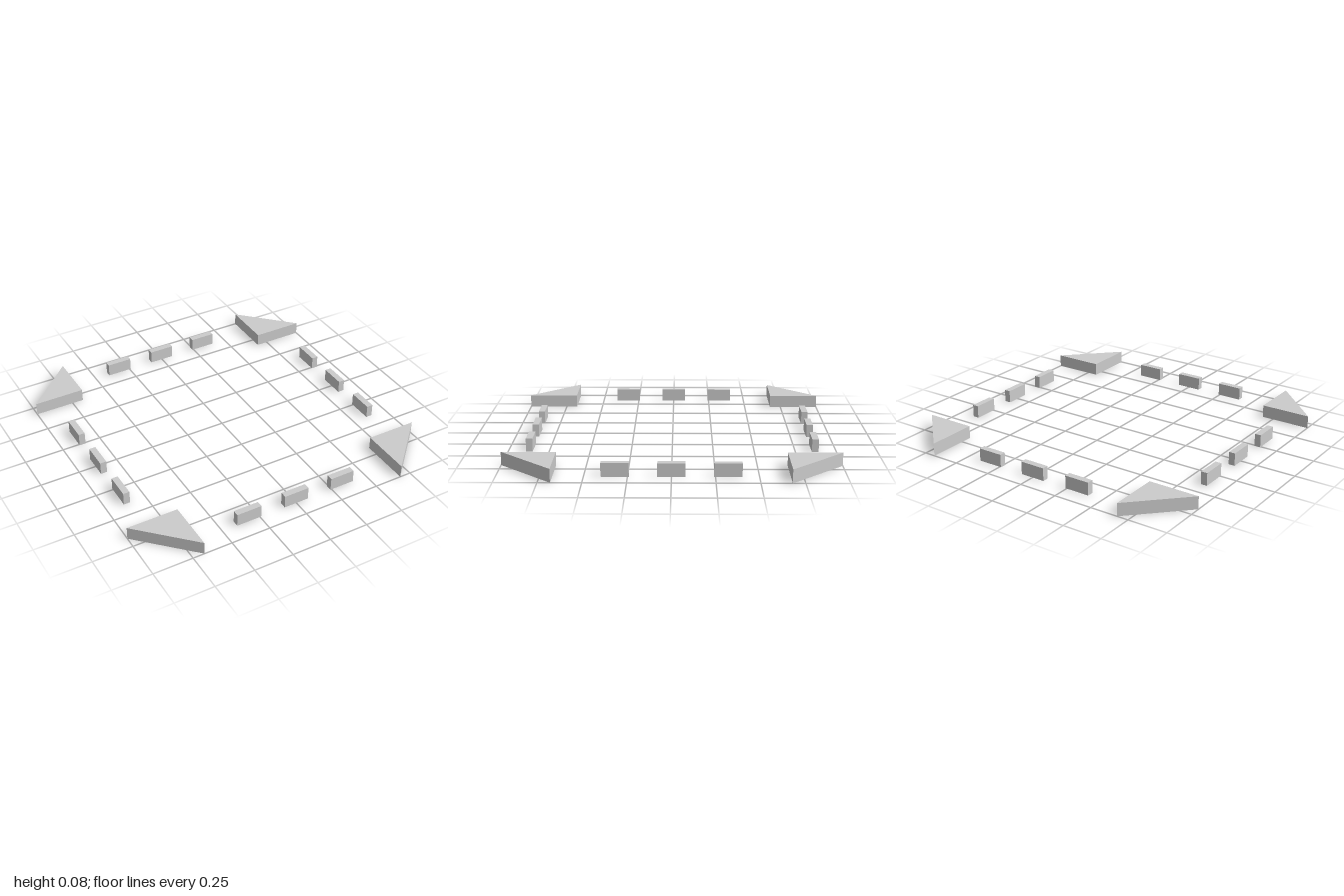
import * as THREE from 'three';

const HEIGHT = 0.081;
const LEG = 0.3226; // short side of a corner wedge, also the dash spacing
const INNER = 1 - LEG; // position of the wedge's right-angled corner

export function createModel() {
  const model = new THREE.Group();
  const material = new THREE.MeshStandardMaterial({ color: 0xcccccc, flatShading: true });

  // Right-angled triangular prism, lying flat with its long side facing outwards
  const triangle = new THREE.Shape([
    new THREE.Vector2(INNER, INNER),
    new THREE.Vector2(1, INNER),
    new THREE.Vector2(INNER, 1),
  ]);
  const wedgeGeometry = new THREE.ExtrudeGeometry(triangle, { depth: HEIGHT, bevelEnabled: false });
  wedgeGeometry.rotateX(-Math.PI / 2);

  // Short bar used for the dashes along each side
  const dashGeometry = new THREE.BoxGeometry(LEG / 2, HEIGHT, LEG / 8);
  dashGeometry.translate(0, HEIGHT / 2, 0);

  // Four identical quarters: one corner wedge and three dashes each
  for (let i = 0; i < 4; i++) {
    const side = new THREE.Group();
    side.name = `frameSide${i + 1}`;
    side.rotation.y = (i * Math.PI) / 2;

    const wedge = new THREE.Mesh(wedgeGeometry, material);
    wedge.name = 'cornerWedge';
    side.add(wedge);

    for (const step of [-1, 0, 1]) {
      const dash = new THREE.Mesh(dashGeometry, material);
      dash.name = 'sideDash';
      dash.position.set(step * LEG, 0, 0.871);
      side.add(dash);
    }
    model.add(side);
  }
  return model;
}
